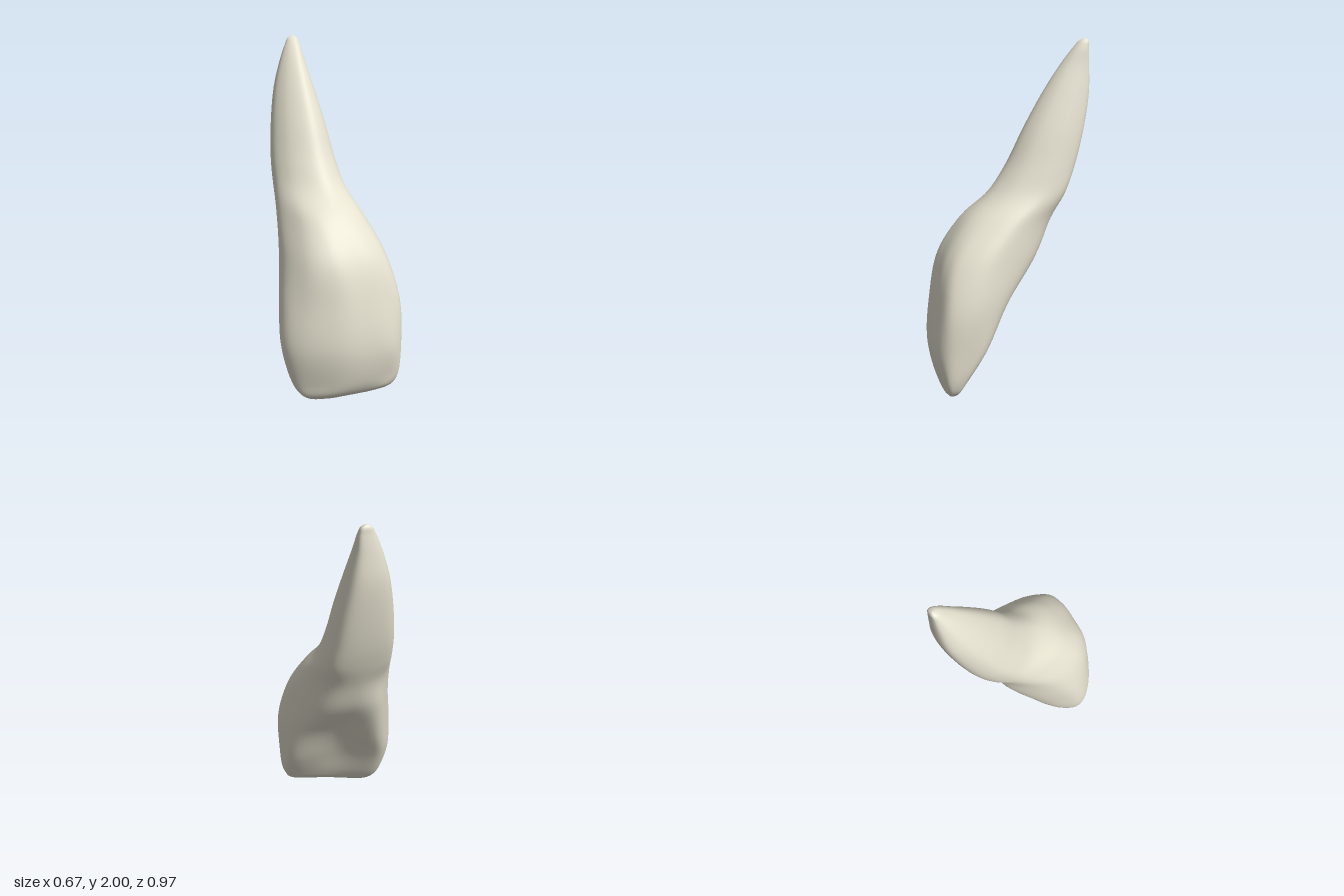
import * as THREE from 'three';
import { mergeVertices } from 'three/addons/utils/BufferGeometryUtils.js';

// Crown cross-sections [x, z]: left front corner, round the back, to the front
const crown = [
  [0.0, [[.21, .405], [.22, .39], [.19, .375], [0, .33], [-.15, .28], [-.18, .275], [-.16, .29], [-.09, .33], [.08, .385], [.15, .4]]],
  [0.03, [[.25, .425], [.262, .4], [.235, .36], [0, .3], [-.18, .23], [-.24, .24], [-.22, .285], [-.1, .36], [.08, .41], [.18, .43]]],
  [0.1, [[.273, .44], [.29, .385], [.25, .32], [0, .26], [-.2, .165], [-.282, .2], [-.26, .275], [-.1, .39], [.08, .44], [.2, .45]]],
  [0.3, [[.29, .44], [.315, .33], [.27, .21], [0, .17], [-.22, .05], [-.335, .18], [-.28, .31], [-.11, .43], [.07, .475], [.2, .485]]],
  [0.55, [[.29, .42], [.333, .27], [.26, .085], [.05, .035], [-.16, -.08], [-.317, .13], [-.265, .29], [-.115, .41], [.04, .45], [.18, .457]]],
  [0.8, [[.24, .345], [.305, .18], [.225, -.09], [.05, -.165], [-.125, -.175], [-.262, .04], [-.23, .25], [-.12, .355], [.02, .385], [.14, .392]]],
  [1.0, [[.2, .18], [.267, .02], [.205, -.19], [.06, -.255], [-.1, -.23], [-.205, -.1], [-.185, .1], [-.12, .205], [-.01, .25], [.11, .25]]],
];
// Root outline, fitted into the bounds [y, xMin, xMax, zBack, zFront]
const rootShape = [[.72, .6], [1, -.15], [.86, -.8], [.15, -1], [-.66, -.87], [-1, -.3], [-.87, .28], [-.54, .72], [-.1, 1], [.33, .94]];
const root = [
  [1.15, -.173, .241, -.33, .095],
  [1.3, -.148, .226, -.39, -.01],
  [1.5, -.107, .205, -.445, -.11],
  [1.7, -.053, .175, -.48, -.222],
  [1.85, .003, .15, -.48, -.318],
  [1.95, .05, .139, -.473, -.392],
  [1.985, .072, .128, -.47, -.425],
  [2.0, .1, .1, -.458, -.458],
];

function createTooth() {
  const rings = crown.map(([y, pts]) => pts.map(([x, z]) =>
    // the biting edge rises towards the left
    new THREE.Vector3(x, y + .1 * (x + .2) * Math.max(0, 1 - y / .3), z)));
  for (const [y, x0, x1, z0, z1] of root) {
    rings.push(rootShape.map(([u, w]) => new THREE.Vector3(
      (x0 + x1) / 2 + u * (x1 - x0) / 2, y, (z0 + z1) / 2 + w * (z1 - z0) / 2)));
  }
  // Close the biting edge at a point
  const mid = rings[0].reduce((s, p) => s.add(p), new THREE.Vector3()).divideScalar(10);
  rings.unshift(rings[0].map(() => mid.clone()));

  // Smooth each ring, then smooth the columns upwards
  const around = 60, up = 90;
  const smooth = rings.map(r => {
    const curve = new THREE.CatmullRomCurve3(r, true, 'catmullrom', .5);
    return Array.from({ length: around }, (_, j) => curve.getPoint(j / around));
  });
  const columns = Array.from({ length: around }, (_, j) =>
    new THREE.CatmullRomCurve3(smooth.map(r => r[j]), false, 'centripetal'));

  const position = [], index = [];
  for (let i = 0; i <= up; i++) {
    for (let j = 0; j < around; j++) {
      const p = columns[j].getPoint(i / up);
      position.push(p.x, Math.min(2, Math.max(0, p.y)), p.z);
      if (i === up) continue;
      const a = i * around + j, b = i * around + (j + 1) % around;
      const c = a + around, d = b + around;
      if (i > 0) index.push(a, b, c);
      else index.push(a, d, c);
      if (i > 0 && i < up - 1) index.push(b, d, c);
    }
  }
  const geometry = new THREE.BufferGeometry();
  geometry.setAttribute('position', new THREE.Float32BufferAttribute(position, 3));
  geometry.setIndex(index);
  const merged = mergeVertices(geometry, 1e-5);
  merged.computeVertexNormals();
  return merged;
}

export function createModel() {
  const group = new THREE.Group();
  group.name = 'incisorTooth';
  const tooth = new THREE.Mesh(createTooth(), new THREE.MeshStandardMaterial({ color: 0xe6e2d0 }));
  tooth.name = 'crownAndRoot';
  group.add(tooth);
  return group;
}
